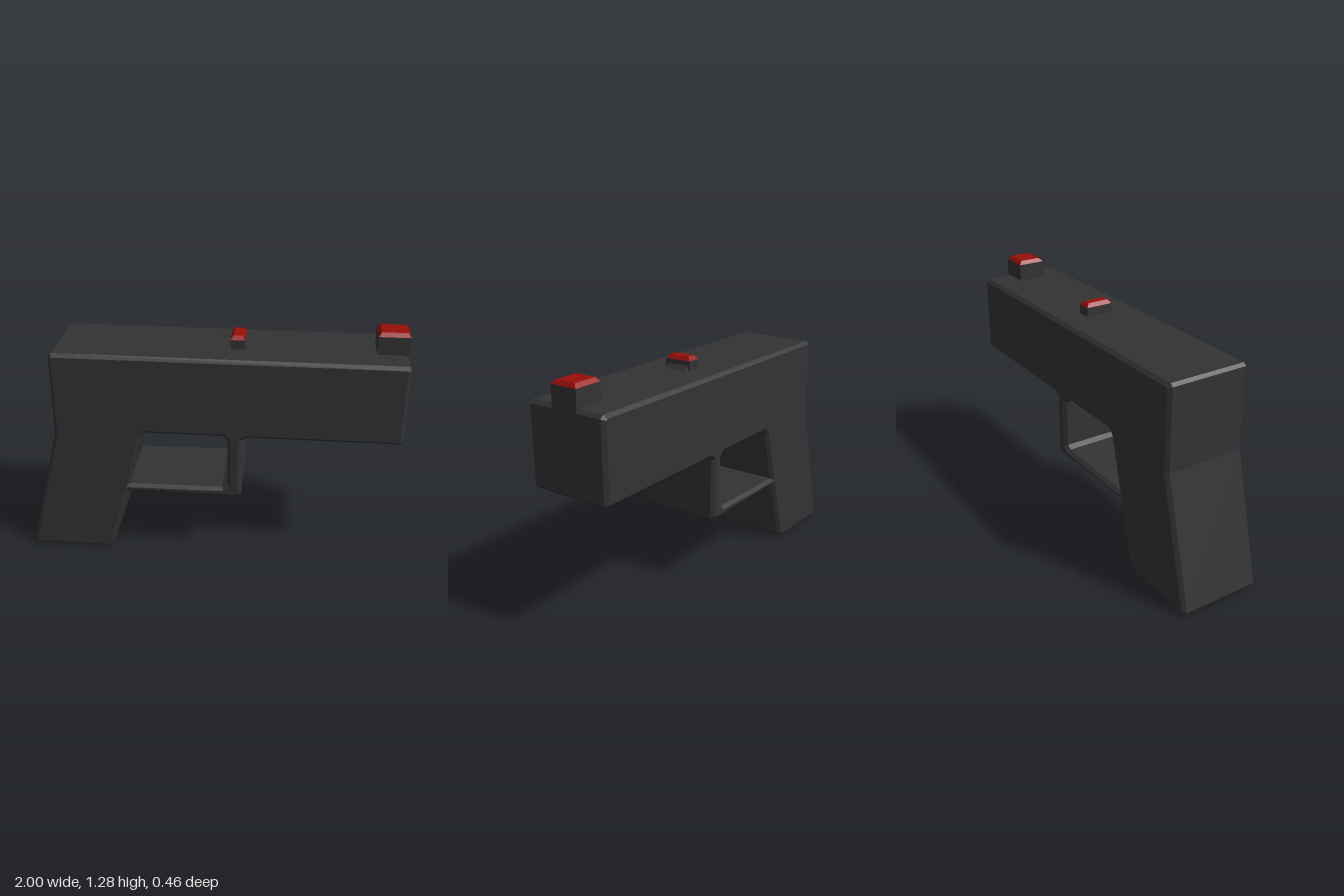
import * as THREE from 'three';

const dark = new THREE.MeshStandardMaterial({ color: 0x333333, flatShading: true });
const red = new THREE.MeshStandardMaterial({ color: 0x990e08, flatShading: true });
const points = (list) => list.map(([x, y]) => new THREE.Vector2(x, y));

// Block whose top face has its own x range and half depth
function taperedBlock(name, material, y0, y1, bottom, top) {
  const geometry = new THREE.BoxGeometry(1, 1, 1);
  const pos = geometry.attributes.position;
  for (let i = 0; i < pos.count; i++) {
    const up = pos.getY(i) > 0;
    const [xMin, xMax, halfDepth] = up ? top : bottom;
    pos.setXYZ(i, pos.getX(i) > 0 ? xMax : xMin, up ? y1 : y0, Math.sign(pos.getZ(i)) * halfDepth);
  }
  geometry.computeVertexNormals();
  const mesh = new THREE.Mesh(geometry, material);
  mesh.name = name;
  return mesh;
}

// Sight post with a chamfered coloured cap
function sight(name, x0, x1, top) {
  const group = new THREE.Group();
  group.name = name;
  const base = [x0, x1, 0.075];
  group.add(
    taperedBlock(name + 'Post', dark, 1.14, top - 0.02, base, base),
    taperedBlock(name + 'Cap', red, top - 0.02, top, base, [x0 + 0.015, x1 - 0.015, 0.058])
  );
  return group;
}

export function createModel() {
  const model = new THREE.Group();
  model.name = 'toyBlaster';

  // Side outline: barrel block, slanted grip and trigger guard
  const outline = new THREE.Shape(points([
    [-0.81, 1.17], [-0.825, 1.155], [-0.825, 0.715], [-1, 0.02], [-0.985, 0],
    [-0.56, 0], [-0.54, 0.03], [-0.448, 0.377], [0.155, 0.373], [0.172, 0.39],
    [0.172, 0.715], [0.195, 0.735], [0.985, 0.735], [1, 0.75], [1, 1.152], [0.985, 1.17],
  ]));
  // Opening inside the trigger guard
  outline.holes.push(new THREE.Path(points([
    [-0.436, 0.42], [-0.362, 0.71], [-0.34, 0.737], [0.075, 0.737],
    [0.097, 0.71], [0.097, 0.445], [0.07, 0.427],
  ])));

  // Body with a single chamfer around every side edge
  const bevel = 0.018;
  const depth = 0.46 - 2 * bevel;
  const bodyGeometry = new THREE.ExtrudeGeometry(outline, {
    depth, bevelEnabled: true, bevelSegments: 1,
    bevelSize: bevel, bevelThickness: bevel, bevelOffset: -bevel,
  });
  bodyGeometry.translate(0, 0, -depth / 2);
  const body = new THREE.Mesh(bodyGeometry, dark);
  body.name = 'body';
  model.add(body);

  // Sights on top, the middle one with a small sloped foot
  model.add(sight('frontSight', 0.84, 1, 1.285));
  const middle = sight('middleSight', 0.096, 0.17, 1.24);
  middle.add(taperedBlock('middleSightFoot', dark, 1.165, 1.195, [0.1, 0.195, 0.07], [0.1, 0.17, 0.06]));
  model.add(middle);

  return model;
}
